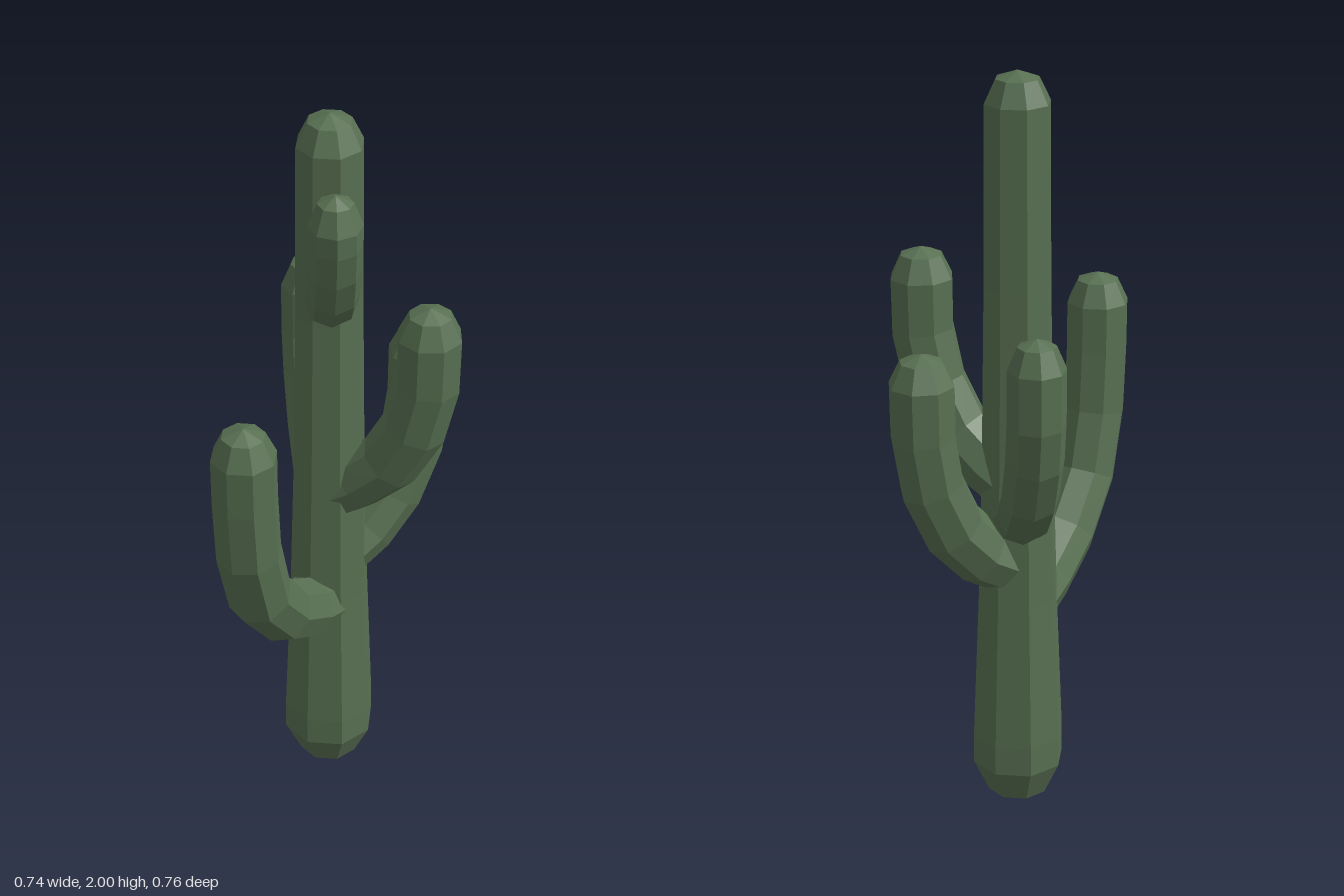
import * as THREE from 'three';

const SIDES = 8;
const TRUNK_X = 0.02;

// Eight-sided limb lofted along a spine that bends in one vertical plane.
// sections: [distance from trunk axis, height, radius]; azimuth: direction [x, z] of the plane
function limbGeometry(sections, [ax, az]) {
  const out = new THREE.Vector3(ax, 0, az).normalize();
  const side = new THREE.Vector3(-out.z, 0, out.x);
  const spine = sections.map(([d, y]) => out.clone().multiplyScalar(d).add(new THREE.Vector3(TRUNK_X, y, 0)));
  const positions = [];
  spine.forEach((centre, i) => {
    const a = spine[Math.max(i - 1, 0)], b = spine[Math.min(i + 1, spine.length - 1)];
    const before = centre.clone().sub(a).normalize(), after = b.clone().sub(centre).normalize();
    const tangent = before.add(after).normalize();
    const up = tangent.clone().cross(side);
    for (let j = 0; j < SIDES; j++) {
      const t = (j / SIDES) * Math.PI * 2, r = sections[i][2];
      const p = centre.clone().addScaledVector(side, r * Math.cos(t)).addScaledVector(up, r * Math.sin(t));
      positions.push(p.x, p.y, p.z);
    }
  });
  const index = [];
  for (let i = 0; i < sections.length - 1; i++) {
    for (let j = 0; j < SIDES; j++) {
      const k = (j + 1) % SIDES;
      const a = i * SIDES + j, b = i * SIDES + k, c = b + SIDES, d = a + SIDES;
      if (sections[i][2] > 0) index.push(a, b, c);
      if (sections[i + 1][2] > 0) index.push(a, c, d);
      else if (sections[i][2] > 0) index.splice(-3, 3, a, b, d);
    }
  }
  const geometry = new THREE.BufferGeometry();
  geometry.setAttribute('position', new THREE.Float32BufferAttribute(positions, 3));
  geometry.setIndex(index);
  const flat = geometry.toNonIndexed();
  flat.computeVertexNormals();
  return flat;
}

// Rounded tip: shoulder, small ring and apex
const tip = (d, top, r) => [[d, top - 0.08, r], [d, top - 0.02, r * 0.66], [d, top, 0]];

export function createModel() {
  const cactus = new THREE.Group();
  cactus.name = 'cactus';
  const material = new THREE.MeshStandardMaterial({ color: 0x587052, flatShading: true });

  const add = (name, sections, azimuth) => {
    const mesh = new THREE.Mesh(limbGeometry(sections, azimuth), material);
    mesh.name = name;
    cactus.add(mesh);
  };

  // Trunk, tapering upward with rounded ends
  add('trunk', [
    [0, 0, 0], [0, 0.03, 0.08], [0, 0.12, 0.122], [0, 0.2, 0.122],
    [0, 0.6, 0.106], [0, 1.0, 0.095], [0, 1.45, 0.088], ...tip(0, 2, 0.085),
  ], [0, 1]);

  // Arms: direction, radius, tip height, spine points [distance, height]
  const arms = [
    { name: 'rightFrontArm', azimuth: [-0.305, 0.3], r: 0.083, top: 1.36,
      path: [[0.03, 0.56], [0.13, 0.6], [0.255, 0.68], [0.365, 0.81], [0.415, 0.98], [0.428, 1.15]] },
    { name: 'leftBackArm', azimuth: [0.27, -0.07], r: 0.085, top: 1.32,
      path: [[0.03, 0.7], [0.11, 0.745], [0.19, 0.83], [0.25, 0.96], [0.274, 1.1]] },
    { name: 'leftFrontArm', azimuth: [0.21, 0.17], r: 0.083, top: 1.52,
      path: [[0.02, 0.92], [0.08, 0.96], [0.165, 1.04], [0.23, 1.16], [0.262, 1.3]] },
    { name: 'backArm', azimuth: [0.04, -0.31], r: 0.074, top: 1.42,
      path: [[0.03, 0.83], [0.12, 0.88], [0.215, 0.97], [0.28, 1.09], [0.305, 1.2]] },
    { name: 'upperFrontArm', azimuth: [-0.05, 0.21], r: 0.066, top: 1.9,
      path: [[0.02, 1.49], [0.08, 1.53], [0.145, 1.6], [0.19, 1.69], [0.21, 1.77]] },
  ];
  for (const { name, azimuth, r, top, path } of arms) {
    const end = path[path.length - 1][0];
    add(name, [[path[0][0] - 0.03, path[0][1] - 0.015, 0], ...path.map(([d, y]) => [d, y, r]),
      ...tip(end + 0.002, top, r)], azimuth);
  }
  return cactus;
}
